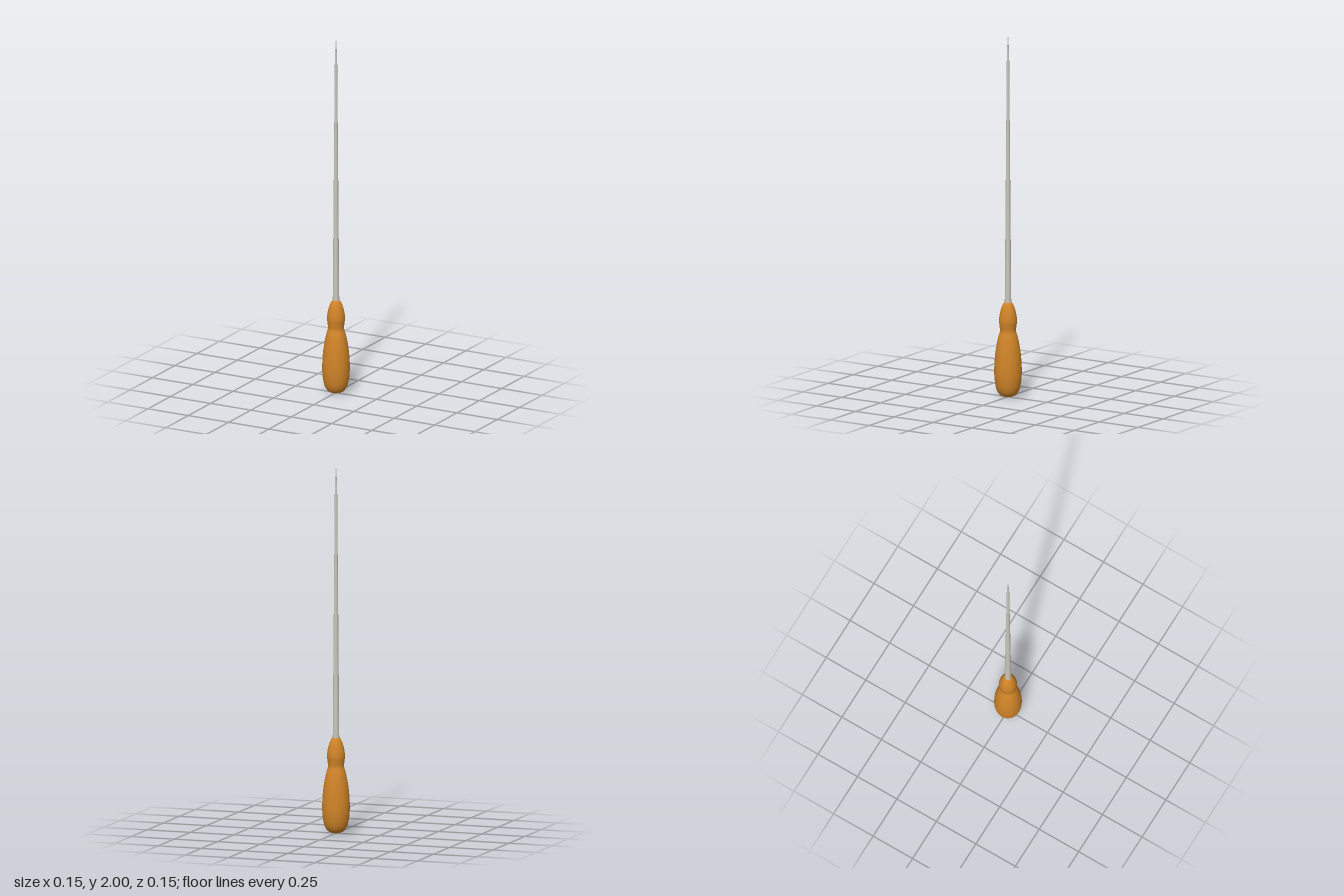
import * as THREE from 'three';

// Smooth lathe through a few [radius, y] points
function turned(name, points, color, steps, sides) {
  const curve = new THREE.SplineCurve(points.map(([r, y]) => new THREE.Vector2(r, y)));
  const profile = curve.getPoints(steps);
  profile.forEach((p) => { p.x = Math.max(p.x, 0); });
  const mesh = new THREE.Mesh(
    new THREE.LatheGeometry(profile, sides),
    new THREE.MeshStandardMaterial({ color }),
  );
  mesh.name = name;
  return mesh;
}

export function createModel() {
  const model = new THREE.Group();
  model.name = 'awl';

  // Wooden handle: rounded butt, full belly, narrow waist and a domed collar
  model.add(turned('handle', [
    [0, 0], [0.025, 0.004], [0.047, 0.016], [0.063, 0.045], [0.072, 0.09],
    [0.075, 0.14], [0.073, 0.2], [0.067, 0.26], [0.055, 0.325], [0.044, 0.365],
    [0.046, 0.395], [0.049, 0.425], [0.044, 0.465], [0.034, 0.5], [0.02, 0.524], [0, 0.526],
  ], 0xd08428, 90, 48));

  // Steel shaft: long straight taper, rooted inside the handle
  const steel = new THREE.MeshStandardMaterial({ color: 0xc9c6bb });
  const shaft = new THREE.Mesh(new THREE.CylinderGeometry(0.0065, 0.018, 1.4, 24), steel);
  shaft.name = 'shaft';
  shaft.position.y = 1.2;
  model.add(shaft);

  // Fine point
  const point = new THREE.Mesh(new THREE.CylinderGeometry(0.002, 0.0065, 0.1, 24), steel);
  point.name = 'point';
  point.position.y = 1.95;
  model.add(point);

  return model;
}
